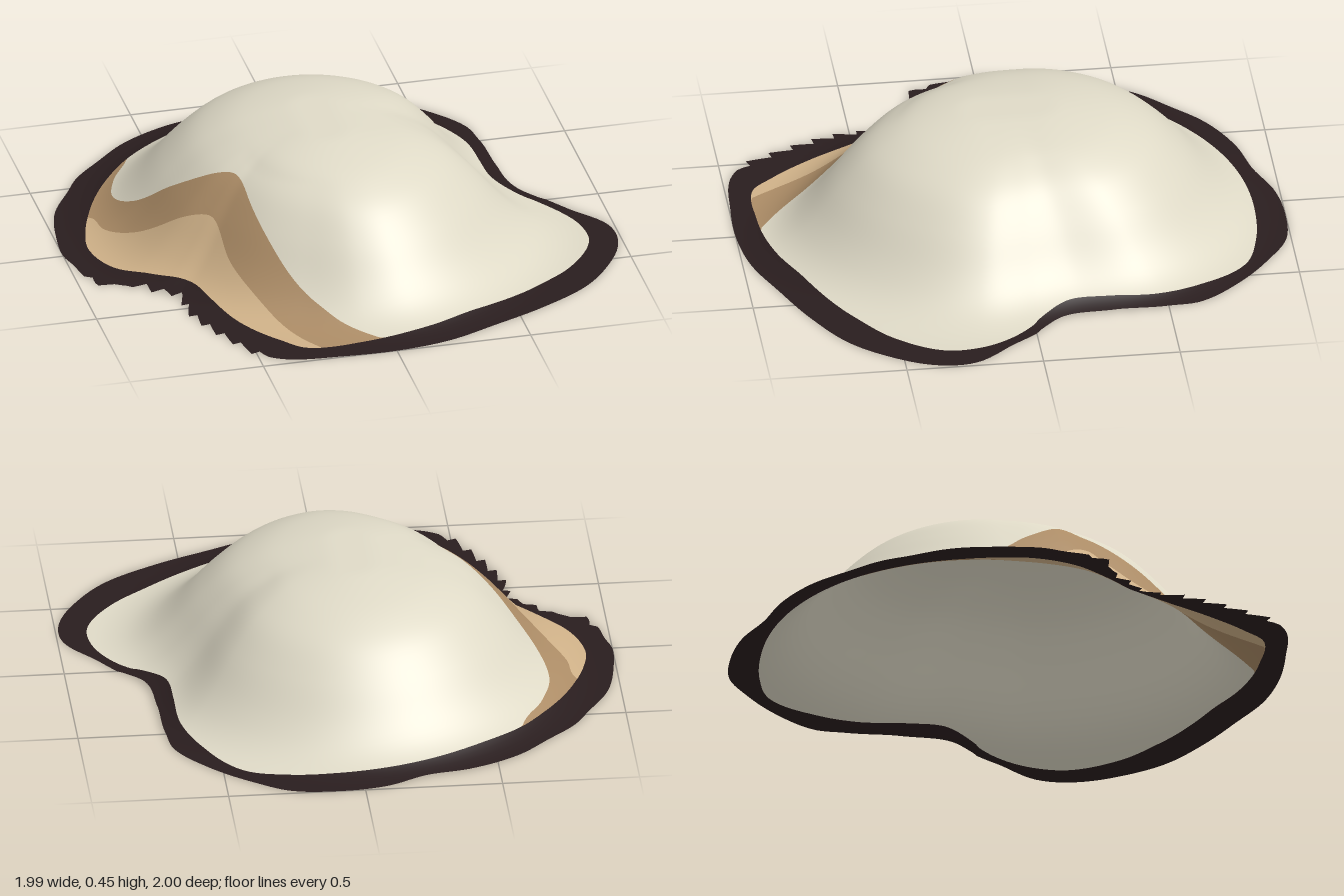
import * as THREE from 'three';

const SEG = 288;
const TAU = Math.PI * 2;

// Turn plan points [x, z, ...] into a periodic function radius(angle)
function polar(flat) {
  const pts = [];
  for (let i = 0; i < flat.length; i += 2) {
    const a = (Math.atan2(flat[i + 1], flat[i]) + TAU) % TAU;
    pts.push([a, Math.hypot(flat[i], flat[i + 1])]);
  }
  return periodic(pts);
}

function periodic(pts) {
  pts.sort((p, q) => p[0] - q[0]);
  const first = pts[0], last = pts[pts.length - 1];
  const all = [[last[0] - TAU, last[1]], ...pts, [first[0] + TAU, first[1]]];
  return (a) => sample(all, ((a % TAU) + TAU) % TAU);
}

// Smooth interpolation through a sorted table of [key, value]
function sample(t, k) {
  let i = 0;
  while (i < t.length - 2 && t[i + 1][0] < k) i++;
  const [p, q] = [t[i], t[i + 1]];
  const o = t[i - 1] || p, s = t[i + 2] || q;
  const w = q[0] - p[0] || 1e-6;
  const u = Math.min(Math.max((k - p[0]) / w, 0), 1);
  const m0 = (q[1] - o[1]) / (q[0] - o[0] || 1) * w;
  const m1 = (s[1] - p[1]) / (s[0] - p[0] || 1) * w;
  const u2 = u * u, u3 = u2 * u;
  return (2 * u3 - 3 * u2 + 1) * p[1] + (u3 - 2 * u2 + u) * m0 + (3 * u2 - 2 * u3) * q[1] + (u3 - u2) * m1;
}

// Plan outlines: outer rim, inner edge of the rim, and the two painted bands
const outer = polar([
  0.72, -0.1, 0.87, 0.09, 0.97, 0.22, 0.99, 0.31, 0.97, 0.42, 0.9, 0.55, 0.79, 0.68, 0.6, 0.8, 0.4, 0.89,
  0.2, 0.97, 0, 1, -0.2, 0.995, -0.4, 0.97, -0.49, 0.91, -0.56, 0.79, -0.62, 0.66, -0.66, 0.54, -0.67, 0.41,
  -0.74, 0.35, -0.8, 0.29, -0.91, 0.25, -0.96, 0.18, -0.98, 0.08, -1, 0, -0.99, -0.15, -0.95, -0.33,
  -0.87, -0.47, -0.81, -0.57, -0.7, -0.68, -0.58, -0.79, -0.4, -0.88, -0.23, -0.92, -0.08, -0.98, 0.1, -1,
  0.27, -0.98, 0.4, -0.9, 0.55, -0.77, 0.66, -0.62, 0.68, -0.5, 0.69, -0.3]);
const inner = polar([
  0.63, -0.29, 0.64, -0.15, 0.7, -0.05, 0.83, 0.1, 0.88, 0.22, 0.88, 0.35, 0.78, 0.51, 0.62, 0.64, 0.35, 0.79,
  0.16, 0.87, -0.12, 0.91, -0.31, 0.9, -0.39, 0.82, -0.5, 0.66, -0.57, 0.48, -0.62, 0.36, -0.74, 0.25,
  -0.85, 0.14, -0.9, -0.02, -0.88, -0.15, -0.83, -0.29, -0.71, -0.5, -0.61, -0.62, -0.45, -0.74,
  -0.18, -0.86, 0.08, -0.89, 0.27, -0.87, 0.43, -0.81, 0.56, -0.63, 0.62, -0.47]);
const bandTop = polar([
  0.1, 0.99, -0.04, 0.9, -0.14, 0.81, -0.22, 0.7, -0.33, 0.5, -0.38, 0.3, -0.39, 0.2, -0.43, 0.14, -0.6, -0.02,
  -0.7, -0.15, -0.74, -0.3, -0.7, -0.45, -0.61, -0.62, -0.6, -0.8, 0, -1.2, 1.2, 0, 0.6, 0.9]);
const bandLow = polar([
  -0.2, 1, -0.28, 0.88, -0.4, 0.62, -0.48, 0.4, -0.5, 0.25, -0.6, 0.15, -0.75, 0, -0.82, -0.12,
  -0.84, -0.24, -0.9, -0.28, -0.95, -0.5, 0, -1.2, 1.2, 0, 0, 1.2]);

// Dome: height by distance from a short spine, drawn in towards the two notches
const bell = [[0, 0.45], [0.1, 0.447], [0.25, 0.42], [0.35, 0.385], [0.445, 0.33], [0.54, 0.24],
  [0.645, 0.12], [0.72, 0.055], [0.8, 0.016], [0.9, 0], [1.2, 0]];
const pinch = periodic([
  [0, 1.04], [15, 0.99], [45, 1], [78, 1], [92, 1.05], [109, 1.16], [125, 1.2], [146, 1.2], [154, 1.14],
  [166, 1.05], [182, 1], [230, 1], [290, 1], [322, 1.02], [344, 1.1],
].map(([d, s]) => [d * Math.PI / 180, s]));

function height(x, z) {
  const dx = x + 0.045, dz = Math.max(Math.abs(z) - 0.1, 0);
  const d = Math.hypot(dx, dz);
  const near = Math.min(d / 0.3, 1);
  const scale = 1 + (pinch(Math.atan2(z, dx)) - 1) * near * near;
  return Math.max(0, sample(bell, Math.min(d * scale, 1.2)));
}

// Strip of the surface between two radius functions
function strip(name, r0, r1, steps, material) {
  const pos = [], nor = [], idx = [], e = 0.02, n = new THREE.Vector3();
  for (let i = 0; i <= SEG; i++) {
    const a = (i % SEG) / SEG * TAU, lo = r0(a, i), hi = r1(a, i);
    for (let j = 0; j <= steps; j++) {
      const r = lo + (hi - lo) * j / steps;
      const x = r * Math.cos(a), z = r * Math.sin(a);
      pos.push(x, height(x, z), z);
      n.set(height(x - e, z) - height(x + e, z), 2 * e, height(x, z - e) - height(x, z + e)).normalize();
      nor.push(n.x, n.y, n.z);
    }
  }
  const w = steps + 1;
  for (let i = 0; i < SEG; i++) {
    const a0 = i / SEG * TAU, a1 = (i + 1) / SEG * TAU;
    if (r1(a0, i) - r0(a0, i) < 1e-4 && r1(a1, i + 1) - r0(a1, i + 1) < 1e-4) continue;
    for (let j = 0; j < steps; j++) {
      const p = i * w + j, q = p + w;
      idx.push(p, q, p + 1, q, q + 1, p + 1);
    }
  }
  const g = new THREE.BufferGeometry();
  g.setAttribute('position', new THREE.Float32BufferAttribute(pos, 3));
  g.setAttribute('normal', new THREE.Float32BufferAttribute(nor, 3));
  g.setIndex(idx);
  const mesh = new THREE.Mesh(g, material);
  mesh.name = name;
  return mesh;
}

function paint(name, color) {
  const m = new THREE.MeshStandardMaterial({ color, side: THREE.DoubleSide });
  m.name = name;
  return m;
}

export function createModel() {
  const group = new THREE.Group();
  group.name = 'domedShell';
  const topEdge = (a) => Math.min(bandTop(a), inner(a));
  const lowEdge = (a) => Math.max(topEdge(a), Math.min(bandLow(a), inner(a)));
  // Ragged teeth along the front right side of the rim
  const ragged = (a, i) => outer(a) - (a > 2.05 && a < 2.95 ? 0.012 * (i % 4) - 0.016 : 0);

  group.add(
    strip('creamDome', () => 0, topEdge, 40, paint('cream', 0xded9c6)),
    strip('darkTanBand', topEdge, lowEdge, 10, paint('dark tan', 0xac8c66)),
    strip('lightTanPatch', lowEdge, inner, 10, paint('light tan', 0xcfb188)),
    strip('darkRim', inner, ragged, 4, paint('dark brown', 0x291d1e)),
  );
  return group;
}
